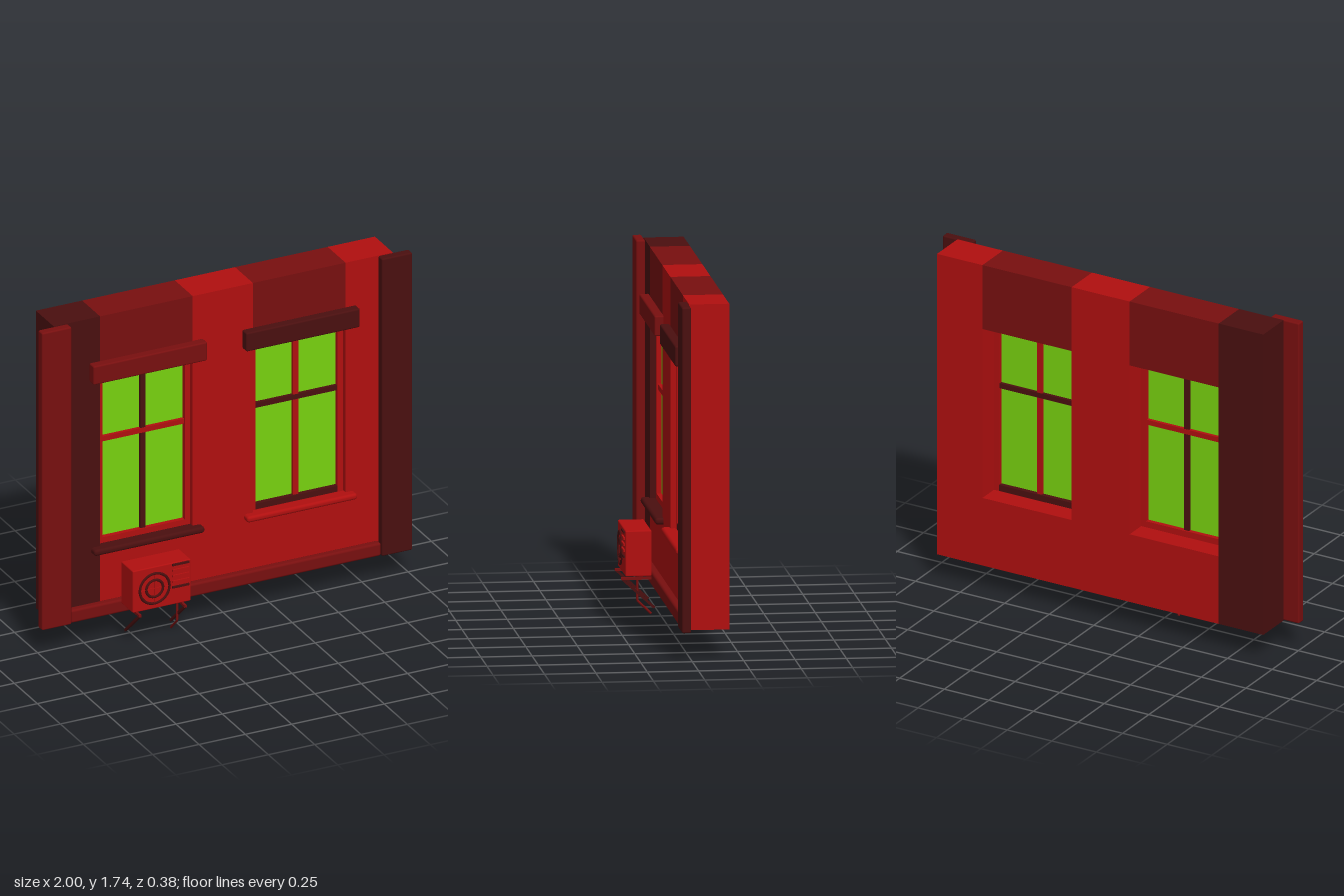
import * as THREE from 'three';
import { RoundedBoxGeometry } from 'three/addons/geometries/RoundedBoxGeometry.js';

const mat = (name, color) => {
  const m = new THREE.MeshStandardMaterial({ color });
  m.name = name;
  return m;
};

export function createModel() {
  const bright = mat('bright red', 0xb00f0f);
  const mid = mat('mid red', 0x780f0f);
  const dark = mat('dark red', 0x4a0f0f);
  const green = mat('green glass', 0x78d20f);
  const root = new THREE.Group();

  const add = (parent, name, geo, material) => {
    const mesh = new THREE.Mesh(geo, material);
    mesh.name = name;
    parent.add(mesh);
    return mesh;
  };
  // Box given by its min and max on each axis, optionally with rounded edges
  const box = (parent, name, material, [x0, x1], [y0, y1], [z0, z1], r = 0) => {
    const s = [x1 - x0, y1 - y0, z1 - z0];
    const geo = r ? new RoundedBoxGeometry(...s, 2, r) : new THREE.BoxGeometry(...s);
    const mesh = add(parent, name, geo, material);
    mesh.position.set((x0 + x1) / 2, (y0 + y1) / 2, (z0 + z1) / 2);
    return mesh;
  };
  // Square bar between two points in a plane of constant x
  const bar = (parent, name, material, x, [za, ya], [zb, yb], t) => {
    const mesh = add(parent, name, new THREE.BoxGeometry(t, t, Math.hypot(zb - za, yb - ya)), material);
    mesh.position.set(x, (ya + yb) / 2, (za + zb) / 2);
    mesh.rotation.x = -Math.atan2(yb - ya, zb - za);
  };

  // Wall blocks
  const wallZ = [-0.19, 0.005], wallY = [0.14, 1.74];
  box(root, 'wallRightEnd', dark, [-0.915, -0.665], wallY, wallZ);
  box(root, 'wallCentre', bright, [-0.165, 0.16], wallY, wallZ);
  box(root, 'wallLeftEnd', bright, [0.66, 0.915], wallY, wallZ);

  // Pilasters and skirting
  box(root, 'rightPilaster', mid, [-1, -0.84], wallY, [0.005, 0.05], 0.008);
  box(root, 'leftPilaster', dark, [0.835, 1], wallY, [0.005, 0.05], 0.008);
  box(root, 'skirting', mid, [-0.84, 0.835], [0.14, 0.21], [0, 0.042], 0.012);

  // Window bays
  const bays = [
    { name: 'rightWindow', x: -0.415, hood: mid, sill: dark, post: dark, rail: bright, foot: bright },
    { name: 'leftWindow', x: 0.41, hood: dark, sill: bright, post: bright, rail: dark, foot: dark },
  ];
  for (const b of bays) {
    const g = new THREE.Group();
    g.name = b.name;
    g.position.x = b.x;
    root.add(g);
    const w = 0.25, inner = 0.222;
    box(g, 'panelBelow', bright, [-w, w], [0.14, 0.5], wallZ);
    box(g, 'panelAbove', mid, [-w, w], [1.4, 1.74], wallZ);
    box(g, 'hood', b.hood, [-0.307, 0.307], [1.4, 1.5], [0, 0.05], 0.008);
    box(g, 'sill', b.sill, [-0.298, 0.298], [0.472, 0.505], [-0.03, 0.045], 0.014);
    // Frame, glazing bars and glass
    const fz = [-0.08, -0.025];
    for (const s of [-1, 1])
      box(g, 'frameSide', bright, s < 0 ? [-w, -inner] : [inner, w], [0.5, 1.4], fz);
    box(g, 'frameTop', bright, [-inner, inner], [1.368, 1.4], fz);
    box(g, 'frameBottom', b.foot, [-inner, inner], [0.5, 0.532], fz);
    box(g, 'glazingPost', b.post, [-0.014, 0.014], [0.532, 1.368], [-0.072, -0.033]);
    box(g, 'glazingRail', b.rail, [-inner, inner], [1.045, 1.071], [-0.074, -0.031]);
    box(g, 'glass', green, [-inner, inner], [0.532, 1.368], [-0.057, -0.049]);
  }

  // Air conditioner
  const ac = new THREE.Group();
  ac.name = 'airConditioner';
  root.add(ac);
  box(ac, 'casing', bright, [-0.572, -0.258], [0.195, 0.42], [0.045, 0.173], 0.006);
  for (const r of [0.08, 0.045])
    add(ac, 'fanRing', new THREE.TorusGeometry(r, 0.007, 6, 32), dark).position.set(-0.455, 0.305, 0.175);
  for (let i = 0; i < 4; i++) {
    const a = (i * Math.PI) / 2;
    const spoke = add(ac, 'fanSpoke', new THREE.BoxGeometry(0.08, 0.005, 0.006), bright);
    spoke.position.set(-0.455 + 0.04 * Math.cos(a), 0.305 + 0.04 * Math.sin(a), 0.174);
    spoke.rotation.z = a;
  }
  for (let i = 0; i < 5; i++) {
    const y = 0.29 + i * 0.03;
    box(ac, 'grilleSlat', i % 4 ? bright : dark, [-0.36, -0.27], [y - 0.005, y + 0.005], [0.17, 0.181]);
  }

  // Brackets and drain pipe
  const brackets = new THREE.Group();
  brackets.name = 'brackets';
  root.add(brackets);
  for (const x of [-0.54, -0.295]) {
    bar(brackets, 'bracketArm', mid, x, [0.04, 0.18], [0.19, 0.18], 0.013);
    bar(brackets, 'bracketBrace', dark, x, [0.028, 0.035], [0.182, 0.176], 0.012);
  }
  const path = new THREE.CurvePath();
  const pts = [[0.11, 0.2], [0.11, 0.07], [0.043, 0.005]].map(([z, y]) => new THREE.Vector3(-0.302, y, z));
  path.add(new THREE.LineCurve3(pts[0], pts[1]));
  path.add(new THREE.LineCurve3(pts[1], pts[2]));
  add(brackets, 'drainPipe', new THREE.TubeGeometry(path, 24, 0.006, 6), mid);

  return root;
}
